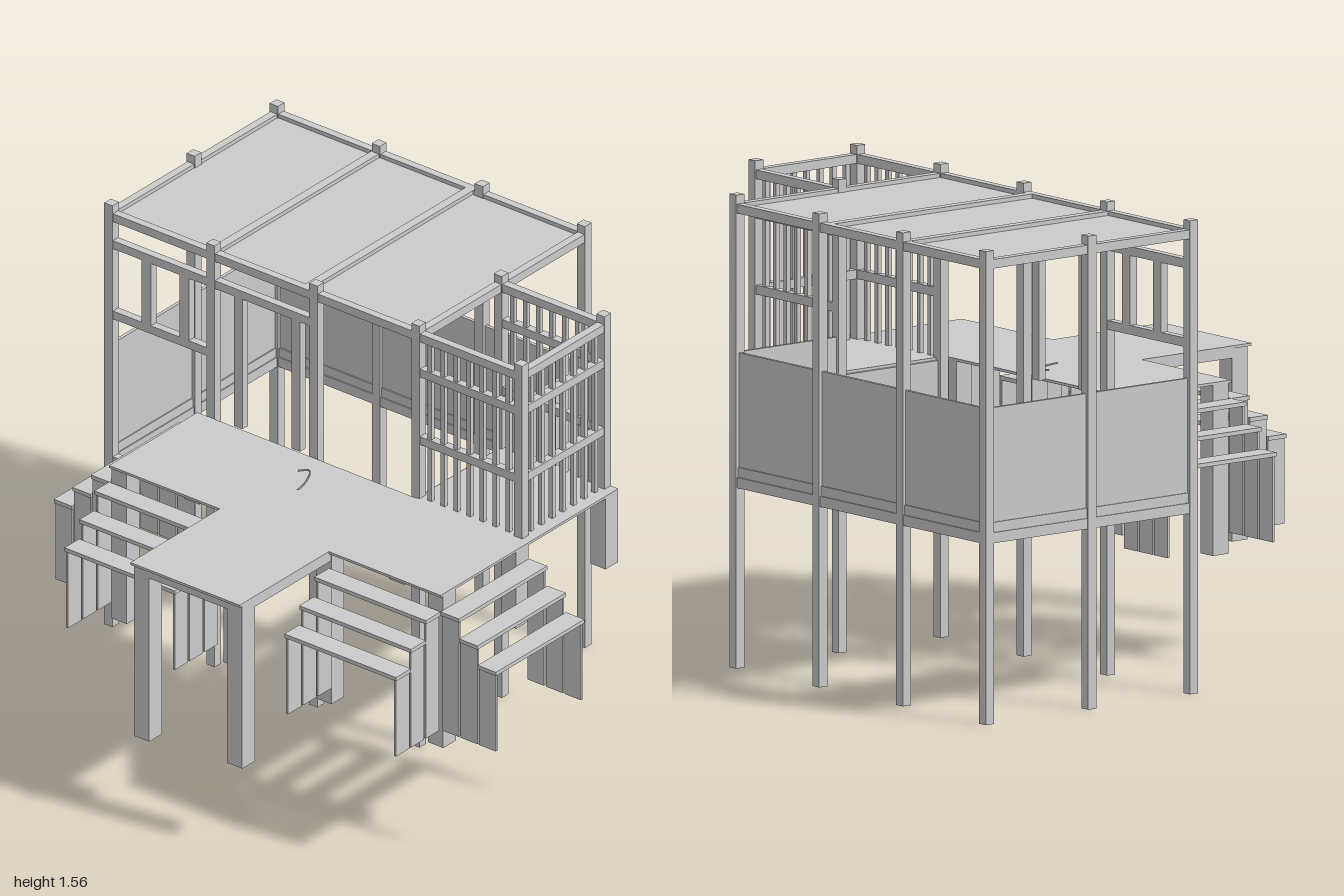
import * as THREE from 'three';

const mat = new THREE.MeshStandardMaterial({ color: 0xcccccc, flatShading: true, side: THREE.DoubleSide });

// Box given by its minimum and maximum on each axis
function box(parent, name, x0, x1, y0, y1, z0, z1) {
  const m = new THREE.Mesh(new THREE.BoxGeometry(x1 - x0, y1 - y0, z1 - z0), mat);
  m.position.set((x0 + x1) / 2, (y0 + y1) / 2, (z0 + z1) / 2);
  m.name = name;
  parent.add(m);
  return m;
}

function group(parent, name) {
  const g = new THREE.Group();
  g.name = name;
  parent.add(g);
  return g;
}

const H = 0.017; // half width of a post
const T = 0.014; // half width of a rail
const XS = [0.03, 0.455, 0.883];
const ZS = [0.295, -0.13, -0.558, -0.983];

const railX = (p, name, xa, xb, z, y0, y1, t = T) => box(p, name, xa, xb, y0, y1, z - t, z + t);
const railZ = (p, name, za, zb, x, y0, y1, t = T) => box(p, name, x - t, x + t, y0, y1, zb, za);

function buildHouse(root) {
  const g = group(root, 'raisedHouse');

  // Posts around the outline
  ZS.forEach((z, j) => XS.forEach((x, i) => {
    if (i === 1 && j > 0 && j < 3) return;
    box(g, 'post', x - H, x + H, 0, 1.56, z - H, z + H);
  }));

  // Front and back: beams and wall panels
  for (const z of [ZS[0], ZS[3]]) {
    for (let i = 0; i < 2; i++) {
      const a = XS[i] + H, b = XS[i + 1] - H;
      railX(g, 'floorBeam', a, b, z, 0.595, 0.63);
      railX(g, 'roofBeam', a, b, z, 1.5, 1.53);
      const top = z > 0 && i === 0 ? 0.912 : 1.04;
      railX(g, 'wallPanel', a, b, z, 0.63, top, 0.006);
      railX(g, 'wallSill', a, b, z, 0.63, 0.663, 0.01);
    }
  }

  // Sides: beams on both, panels on the outer side only
  for (let j = 0; j < 3; j++) {
    const a = ZS[j] - H, b = ZS[j + 1] + H;
    for (const x of [XS[0], XS[2]]) {
      railZ(g, 'floorBeam', a, b, x, 0.595, 0.63);
      railZ(g, 'roofBeam', a, b, x, 1.5, 1.53);
    }
    railZ(g, 'wallPanel', a, b, XS[2], 0.63, 1.04, 0.006);
    railZ(g, 'wallSill', a, b, XS[2], 0.63, 0.663, 0.01);
  }

  // Roof sheet and the beams across it
  box(g, 'roofSheet', XS[0], XS[2], 1.508, 1.516, ZS[3], ZS[0]);
  for (const z of [-0.172, -0.562]) railX(g, 'roofCrossBeam', XS[0], XS[2], z, 1.5, 1.53, 0.016);

  // Doorway and window framing on the deck side
  const x = XS[0];
  railZ(g, 'doorHead', ZS[1] - H, ZS[2] + H, x, 1.4, 1.43);
  railZ(g, 'windowHead', ZS[2] - H, ZS[3] + H, x, 1.4, 1.43);
  railZ(g, 'windowSill', ZS[2] - H, ZS[3] + H, x, 1.14, 1.17);
  for (const z of [-0.205, -0.445]) box(g, 'doorJamb', x - T, x + T, 0.92, 1.4, z - 0.018, z + 0.018);
  for (const z of [-0.67, -0.828]) box(g, 'windowStud', x - T, x + T, 1.17, 1.4, z - 0.02, z + 0.02);
}

function buildTower(root) {
  const g = group(root, 'barredTower');
  const [xa, xb] = XS, za = ZS[0], zb = 0.722;
  for (const x of [xa, xb]) box(g, 'towerPost', x - H, x + H, 0.92, 1.56, zb - H, zb + H);
  for (const [y0, y1] of [[1.5, 1.53], [1.37, 1.4], [1.12, 1.15]]) {
    railX(g, 'frontRail', xa + H, xb - H, zb, y0, y1);
    for (const x of [xa, xb]) railZ(g, 'sideRail', zb - H, za + H, x, y0, y1);
  }
  // Upright bars on the three open sides
  const b = 0.008;
  for (let i = 1; i <= 7; i++) {
    const px = xa + 0.048 + (i - 1) * 0.055;
    const pz = za + 0.052 + (i - 1) * 0.054;
    box(g, 'bar', px - b, px + b, 0.92, 1.5, zb - b, zb + b);
    for (const x of [xa, xb]) box(g, 'bar', x - b, x + b, 0.92, 1.5, pz - b, pz + b);
  }
}

function buildDeck(root) {
  const g = group(root, 'deck');
  const y0 = 0.912, y1 = 0.921;
  box(g, 'mainDeck', -0.445, 0.01, y0, y1, -0.61, 0.77);
  box(g, 'sideDeck', -0.905, -0.445, y0, y1, -0.15, 0.305);
  box(g, 'towerFloor', 0.01, 0.47, y0, y1, 0.3, 0.77);

  // Legs, each row ending at its own height
  const legZ = [0.707, 0.242, -0.145, -0.61];
  const leg = (x, y, z) => box(g, 'deckLeg', x, x + 0.065, y, y0, z, z + 0.063);
  for (const z of legZ) {
    leg(-0.432, 0.35, z);
    leg(-0.057, 0.63, z);
  }
  leg(-0.892, 0.31, legZ[1]);
  leg(-0.892, 0.275, legZ[2]);
  leg(0.405, 0.65, legZ[0]);

  // Edge beams under the side deck
  for (const z of [0.295, -0.14]) railX(g, 'edgeBeam', -0.83, -0.432, z, 0.88, y0, 0.008);
  railZ(g, 'edgeBeam', 0.242, -0.082, -0.884, 0.88, y0, 0.008);

  // Small loose cord lying on the boards
  const cord = new THREE.CatmullRomCurve3([[-0.19, -0.03], [-0.13, -0.045], [-0.065, -0.085], [-0.09, -0.11]]
    .map(([x, z]) => new THREE.Vector3(x, 0.923, z)));
  const m = new THREE.Mesh(new THREE.TubeGeometry(cord, 16, 0.003, 6), mat);
  m.name = 'cord';
  g.add(m);
}

// Three open treads descending away from the deck, on board sides
function buildStairs(root, x, z, width, turn) {
  const g = group(root, 'stairs');
  const w = width / 2;
  [0.86, 0.787, 0.716].forEach((y, i) => {
    const a = i * 0.077;
    box(g, 'tread', -w, w, y - 0.014, y, a, a + 0.076);
    for (const s of [-1, 1]) {
      const c = s * (w - 0.008);
      box(g, 'stairSide', c - 0.004, c + 0.004, 0.42, y - 0.014, a + 0.003, a + 0.072);
    }
  });
  g.position.set(x, 0, z);
  g.rotation.y = turn;
}

export function createModel() {
  const root = new THREE.Group();
  root.name = 'playhouseWithDeck';
  buildHouse(root);
  buildTower(root);
  buildDeck(root);
  buildStairs(root, -0.2175, 0.77, 0.455, 0);
  buildStairs(root, -0.2175, -0.61, 0.455, Math.PI);
  buildStairs(root, -0.445, 0.5375, 0.465, -Math.PI / 2);
  buildStairs(root, -0.445, -0.38, 0.46, -Math.PI / 2);
  return root;
}
